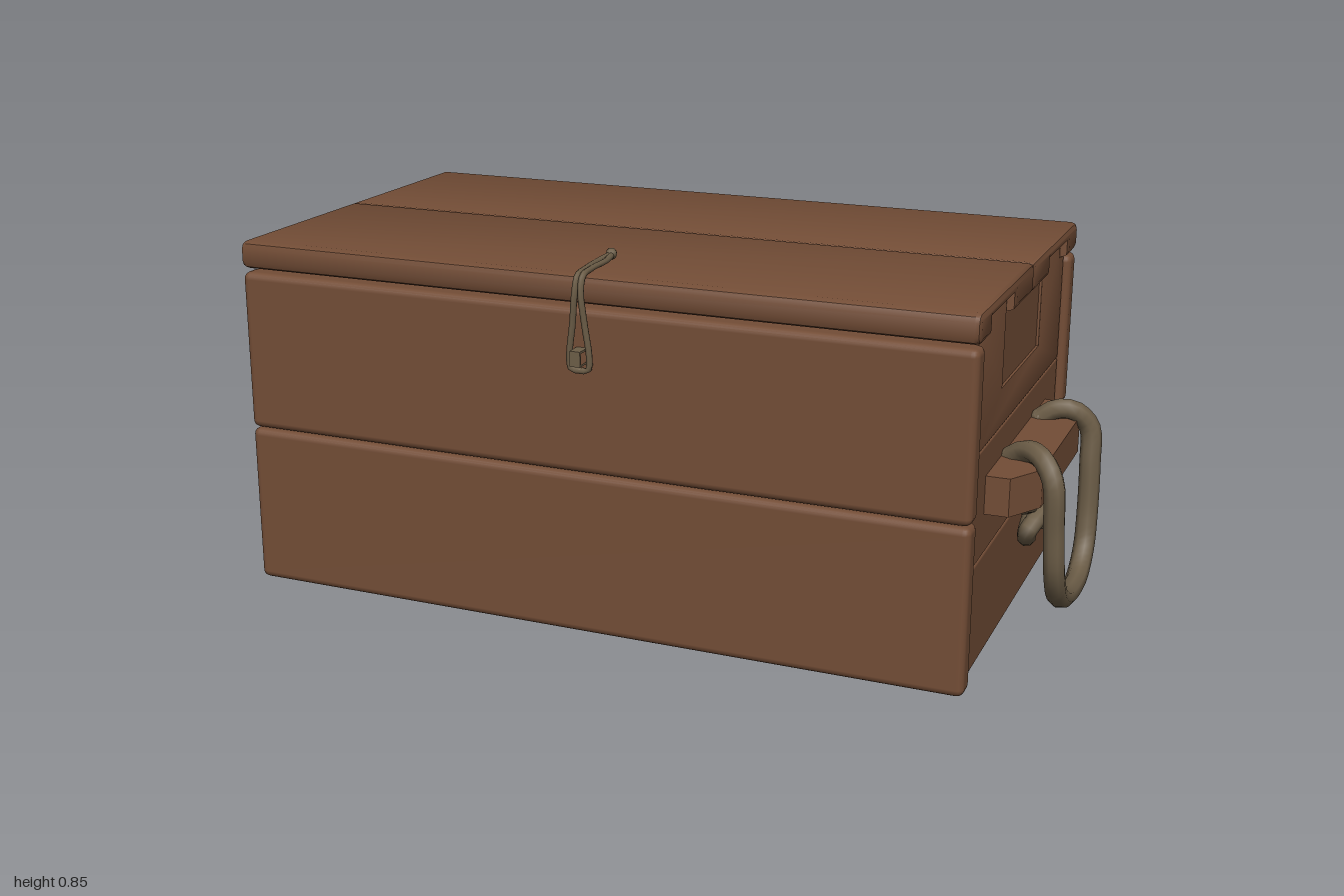
import * as THREE from 'three';
import { toCreasedNormals } from 'three/addons/utils/BufferGeometryUtils.js';
import { RoundedBoxGeometry } from 'three/addons/geometries/RoundedBoxGeometry.js';

const material = (name, color) => {
  const m = new THREE.MeshStandardMaterial({ color });
  m.name = name;
  return m;
};

export function createModel() {
  const wood = material('brown wood', 0x734d36);
  const rope = material('rope', 0x6d5e48);
  const model = new THREE.Group();
  model.name = 'woodenChest';

  const add = (parent, name, geometry, mat) => {
    const mesh = new THREE.Mesh(geometry, mat);
    mesh.name = name;
    parent.add(mesh);
    return mesh;
  };

  // Plank with softened edges, given by its limits
  const plank = (parent, name, x0, x1, y0, y1, z0, z1, r) => {
    const g = new RoundedBoxGeometry(x1 - x0, y1 - y0, z1 - z0, 2, r);
    g.translate((x0 + x1) / 2, (y0 + y1) / 2, (z0 + z1) / 2);
    return add(parent, name, g, wood);
  };

  // Side profile of [z, y] points, extruded along x from x0 to x1
  const profile = (points, x0, x1, bevel, hole) => {
    const toVec = ([z, y]) => new THREE.Vector2(-z, y);
    const shape = new THREE.Shape(points.map(toVec));
    if (hole) shape.holes.push(new THREE.Path(hole.map(toVec)));
    const g = new THREE.ExtrudeGeometry(shape, {
      depth: x1 - x0 - 2 * bevel, bevelEnabled: bevel > 0, bevelSize: bevel,
      bevelThickness: bevel, bevelOffset: -bevel, bevelSegments: 2,
    });
    g.rotateY(Math.PI / 2).translate(x0 + bevel, 0, 0);
    return toCreasedNormals(g, 0.7);
  };

  // Rope or cord through a few points, with rounded ends
  const cord = (parent, name, points, radius, sides = 8) => {
    const pts = points.map((p) => new THREE.Vector3(...p));
    const curve = new THREE.CatmullRomCurve3(pts, false, 'centripetal');
    add(parent, name, new THREE.TubeGeometry(curve, points.length * 4, radius, sides), rope);
    for (const end of [pts[0], pts[pts.length - 1]]) {
      add(parent, name + 'End', new THREE.SphereGeometry(radius, sides, 6).translate(end.x, end.y, end.z), rope);
    }
  };

  // Front and back walls, two planks each
  for (const [name, z0, z1] of [['front', 0.4, 0.46], ['back', -0.495, -0.433]]) {
    plank(model, name + 'LowerPlank', -0.855, 0.855, 0.003, 0.377, z0, z1, 0.017);
    plank(model, name + 'UpperPlank', -0.855, 0.855, 0.379, 0.75, z0, z1, 0.017);
  }
  add(model, 'floor', new THREE.BoxGeometry(1.6, 0.04, 0.835).translate(0, 0.04, -0.016), wood);

  // Lid of two boards, notched underneath for the end tabs
  const c = 0.018;
  add(model, 'frontLidBoard', profile([
    [-0.018, 0.761], [-0.013, 0.757], [0.155, 0.757], [0.155, 0.793], [0.356, 0.793], [0.356, 0.757],
    [0.46 - c, 0.757], [0.455, 0.763], [0.46, 0.775], [0.46, 0.805], [0.455, 0.816], [0.46 - c, 0.822],
    [-0.013, 0.822], [-0.018, 0.818],
  ], -0.855, 0.855, 0.012), wood);
  add(model, 'backLidBoard', profile([
    [-0.02, 0.761], [-0.02, 0.818], [-0.025, 0.822], [-0.495 + c, 0.822], [-0.49, 0.816], [-0.495, 0.805],
    [-0.495, 0.775], [-0.49, 0.763], [-0.495 + c, 0.757], [-0.39, 0.757], [-0.39, 0.793], [-0.19, 0.793],
    [-0.19, 0.757], [-0.025, 0.757],
  ], -0.855, 0.855, 0.012), wood);

  // Each end: three planks, cleat and rope handle
  const buildEnd = (name) => {
    const end = new THREE.Group();
    end.name = name;
    plank(end, 'endLowerPlank', 0.775, 0.838, 0.008, 0.249, -0.43, 0.397, 0.006);
    plank(end, 'endMiddlePlank', 0.775, 0.838, 0.251, 0.499, -0.43, 0.397, 0.004);
    add(end, 'endTabbedPlank', profile([
      [-0.43, 0.501], [0.397, 0.501], [0.397, 0.75], [0.35, 0.755], [0.35, 0.778], [0.338, 0.79],
      [0.17, 0.79], [0.16, 0.78], [0.16, 0.59], [-0.195, 0.59], [-0.195, 0.78], [-0.205, 0.79],
      [-0.373, 0.79], [-0.385, 0.778], [-0.385, 0.755], [-0.43, 0.75],
    ], 0.775, 0.838, 0.003), wood);
    plank(end, 'endInsetPlank', 0.77, 0.832, 0.58, 0.75, -0.197, 0.162, 0.004);

    // Cleat with slanted ends, outlined from above
    const outline = [[0.83, 0.31], [0.89, 0.31], [0.94, 0.21], [0.94, -0.19], [0.89, -0.275], [0.83, -0.275]];
    const cleat = new THREE.ExtrudeGeometry(
      new THREE.Shape(outline.map(([x, y]) => new THREE.Vector2(x, y))),
      { depth: 0.085, bevelEnabled: false });
    cleat.rotateX(-Math.PI / 2).translate(0, 0.345, 0);
    add(end, 'handleCleat', cleat, wood);

    // Hanging loop over the cleat
    cord(end, 'ropeHandle', [
      [0.855, 0.425, 0.12], [0.89, 0.45, 0.14], [0.935, 0.45, 0.18], [0.965, 0.41, 0.203], [0.972, 0.3, 0.198],
      [0.976, 0.2, 0.185], [0.976, 0.135, 0.14], [0.976, 0.095, 0.06], [0.976, 0.08, -0.03],
      [0.976, 0.088, -0.11], [0.976, 0.135, -0.165], [0.975, 0.2, -0.185], [0.972, 0.33, -0.194],
      [0.965, 0.41, -0.2], [0.93, 0.45, -0.185], [0.89, 0.45, -0.178], [0.855, 0.425, -0.175],
    ], 0.024);

    // Knot below the cleat
    cord(end, 'knotRopeFront', [
      [0.87, 0.36, 0.17], [0.882, 0.322, 0.125], [0.89, 0.3, 0.06], [0.89, 0.29, 0], [0.9, 0.265, -0.05],
      [0.905, 0.243, -0.095],
    ], 0.02);
    cord(end, 'knotRopeBack', [
      [0.87, 0.36, -0.175], [0.88, 0.318, -0.15], [0.895, 0.302, -0.09], [0.915, 0.287, -0.02],
      [0.91, 0.275, 0.045], [0.895, 0.25, 0.083], [0.885, 0.22, 0.05], [0.88, 0.226, 0.015], [0.885, 0.262, -0.01],
    ], 0.021);
    cord(end, 'knotWrap', [
      [0.88, 0.335, -0.02], [0.92, 0.32, -0.022], [0.93, 0.28, -0.02], [0.915, 0.245, -0.012], [0.88, 0.24, -0.01],
    ], 0.02);
    model.add(end);
    return end;
  };
  buildEnd('leftEnd');
  // Turn the second end by mirroring
  buildEnd('rightEnd').scale.x = -1;

  // Cord latch on the lid, looped over a staple
  const latch = new THREE.Group();
  latch.name = 'latch';
  for (const s of [-1, 1]) {
    cord(latch, 'latchCord', [
      [0, 0.836, 0.295], [s * 0.008, 0.831, 0.35], [s * 0.006, 0.829, 0.42], [s * 0.006, 0.822, 0.465],
      [s * 0.007, 0.79, 0.478], [s * 0.014, 0.72, 0.476], [s * 0.023, 0.65, 0.474], [s * 0.02, 0.62, 0.473],
      [0, 0.617, 0.473],
    ], 0.007, 6);
  }
  add(latch, 'latchKnot', new THREE.SphereGeometry(0.013, 8, 6).translate(0, 0.836, 0.305), rope);
  add(latch, 'latchStaple', profile(
    [[0.45, 0.631], [0.497, 0.631], [0.497, 0.665], [0.45, 0.665]], -0.012, 0.012, 0,
    [[0.455, 0.636], [0.492, 0.636], [0.492, 0.66], [0.455, 0.66]]), rope);
  model.add(latch);

  return model;
}
